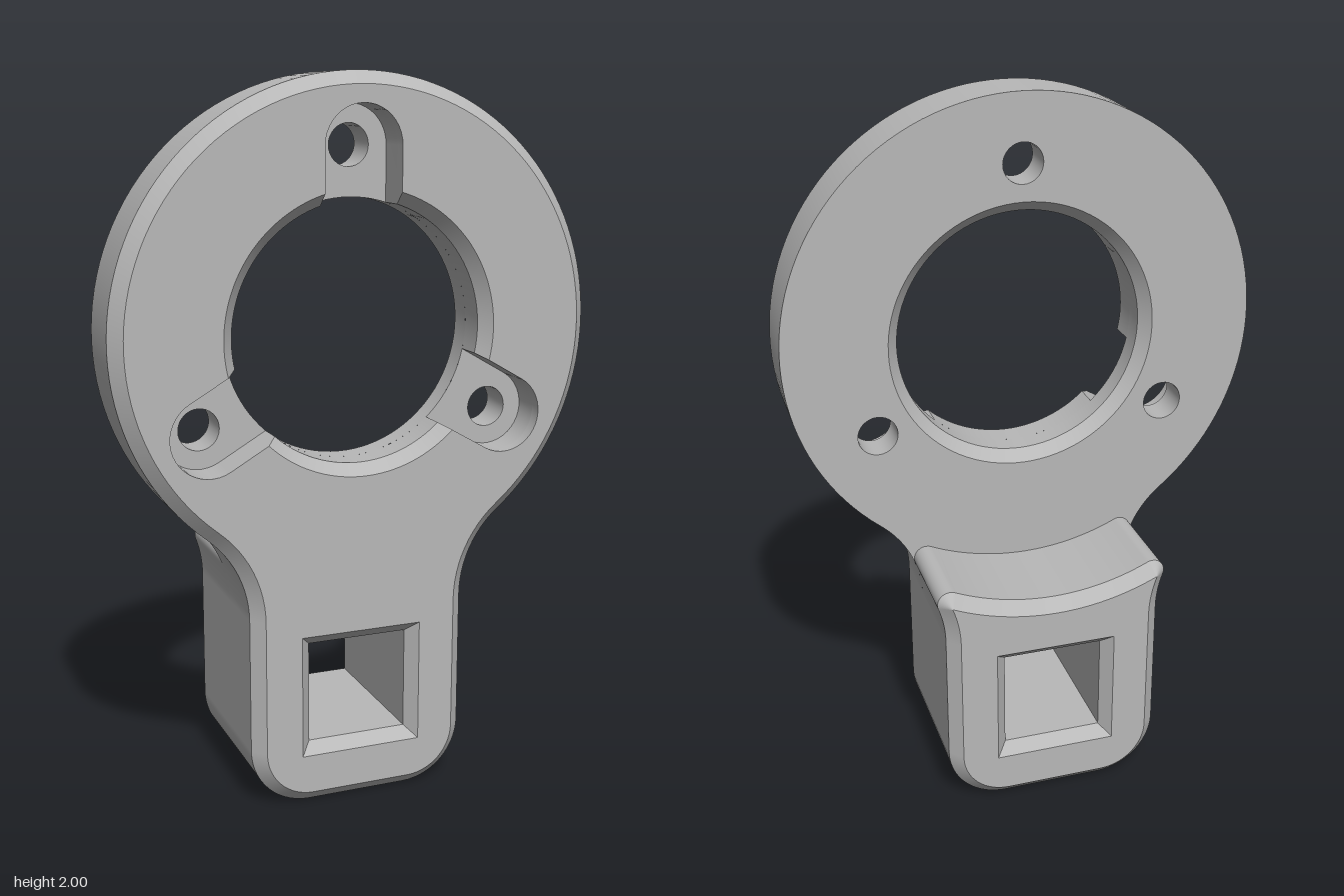
import * as THREE from 'three';

const { PI, sin, cos, asin, atan2, sqrt } = Math;
const V = (x, y) => new THREE.Vector2(x, y);

// Main dimensions
const RING = V(0, 1.32), R = 0.68, BORE = 0.354, BEVEL = 0.035, BORE_OUT = 0.385;
const HALF_W = 0.314, CORNER = 0.17, NECK = 0.313, NECK_C = V(HALF_W + NECK, 0.55);
const BACK = -0.26, PLATE = 0.05, FLOOR = 0.15, FRONT = 0.26;
const SLOT_HALF = 0.108, SLOT_DIST = 0.49, SCREW = 0.057;
const SLOTS = [PI / 2, PI * 7 / 6, PI * 11 / 6];

// Points along an arc, both ends included
function arc(c, r, a0, a1, n) {
  return Array.from({ length: n + 1 }, (_, i) => {
    const a = a0 + (a1 - a0) * i / n;
    return V(c.x + r * cos(a), c.y + r * sin(a));
  });
}
const circle = (c, r, n) => arc(c, r, 0, 2 * PI, n).slice(0, -1);
const angleTo = (a, b) => atan2(b.y - a.y, b.x - a.x);
const reversed = (pts) => pts.slice().reverse();

// Completes a right half (bottom to top) with its mirror image
function mirrored(half) {
  const left = reversed(half).filter((p) => p.x > 1e-6).map((p) => V(-p.x, p.y));
  return half.concat(left);
}

// Rounded upper corner of the boss, touching the neck fillet and the ring circle
const TIP = 0.036;
const TIP_C = (() => {
  const D = NECK_C.distanceTo(RING), r0 = R + TIP, r1 = NECK + TIP;
  const a = (D * D + r0 * r0 - r1 * r1) / (2 * D), h = sqrt(r0 * r0 - a * a);
  const u = NECK_C.clone().sub(RING).divideScalar(D);
  return V(RING.x + u.x * a + u.y * h, RING.y + u.y * a - u.x * h);
})();
const TIP_A0 = angleTo(TIP_C, NECK_C), TIP_A1 = angleTo(TIP_C, RING);
const NECK_TIP = angleTo(NECK_C, TIP_C), NECK_RING = angleTo(NECK_C, RING);
const RING_TIP = angleTo(RING, TIP_C), RING_NECK = angleTo(RING, NECK_C);

// Outlines inset by d
const foot = (d) => arc(V(HALF_W - CORNER, CORNER), CORNER - d, -PI / 2, 0, 14);
const plateOutline = (d) => mirrored([
  ...foot(d),
  ...arc(NECK_C, NECK + d, PI, NECK_RING, 12),
  ...arc(RING, R - d, RING_NECK, PI / 2, 48).slice(1),
]);
const bossOutline = (d) => mirrored([
  ...foot(d),
  ...arc(NECK_C, NECK + d, PI, NECK_TIP, 8),
  ...arc(TIP_C, TIP - d, TIP_A0, TIP_A1, 14).slice(1),
  ...arc(RING, R + d, RING_TIP, -PI / 2, 14).slice(1),
]);
const plateBackOutline = () => mirrored([
  ...arc(RING, R, -PI / 2, RING_TIP, 14),
  ...arc(TIP_C, TIP, TIP_A1, TIP_A0, 14).slice(1),
  ...arc(NECK_C, NECK, NECK_TIP, NECK_RING, 8).slice(1),
  ...arc(RING, R, RING_NECK, PI / 2, 48).slice(1),
]);
const square = (h) => [V(-h, 0.32 - h), V(h, 0.32 - h), V(h, 0.32 + h), V(-h, 0.32 + h)];

// Slot outline, open towards a bore of radius r
function slot(angle, r) {
  const s = sqrt(r * r - SLOT_HALF * SLOT_HALF);
  return [V(s, -SLOT_HALF), ...arc(V(SLOT_DIST, 0), SLOT_HALF, -PI / 2, PI / 2, 20), V(s, SLOT_HALF)]
    .map((p) => p.rotateAround(V(0, 0), angle).add(RING));
}
// Bore wall between one slot and the next
function boreArc(angle, r) {
  const w = asin(SLOT_HALF / r);
  return arc(RING, r, angle + w, angle + 2 * PI / 3 - w, 32);
}
const screwCentre = (a) => V(RING.x + SLOT_DIST * cos(a), RING.y + SLOT_DIST * sin(a));

export function createModel() {
  const model = new THREE.Group();
  const grey = new THREE.MeshStandardMaterial({ color: 0xb8b8b8 });
  grey.name = 'light grey';

  const add = (geometry, name) => {
    const mesh = new THREE.Mesh(geometry, grey);
    mesh.name = name;
    model.add(mesh);
  };

  // Wall strips through [z, contour] levels, creased at each level
  function wall(name, levels, { closed = true, inward = false, flat = false } = {}) {
    for (let k = 0; k + 1 < levels.length; k++) {
      const [lo, hi] = [levels[k], levels[k + 1]].map(([z, pts]) =>
        (inward ? reversed(pts) : pts).map((p) => [p.x, p.y, z]));
      const n = lo.length, index = [];
      for (let i = 0; i < (closed ? n : n - 1); i++) {
        const j = (i + 1) % n;
        index.push(i, j, n + j, i, n + j, n + i);
      }
      let g = new THREE.BufferGeometry();
      g.setAttribute('position', new THREE.Float32BufferAttribute([...lo, ...hi].flat(), 3));
      g.setIndex(index);
      if (flat) g = g.toNonIndexed();
      g.computeVertexNormals();
      add(g, name);
    }
  }

  // Flat face with holes
  function face(name, z, outline, holes, facesBack = false) {
    const shape = new THREE.Shape(outline);
    shape.holes = holes.map((h) => new THREE.Path(h));
    const g = new THREE.ShapeGeometry(shape);
    if (facesBack) g.setIndex(Array.from(g.index.array).reverse());
    g.computeVertexNormals();
    add(g.translate(0, 0, z), name);
  }

  // Plate: rim, front face and back face
  wall('plateRim', [
    [PLATE, plateOutline(0)], [FRONT - BEVEL, plateOutline(0)], [FRONT, plateOutline(BEVEL)],
  ]);
  const frontBore = SLOTS.flatMap((a) => [...slot(a, BORE_OUT), ...boreArc(a, BORE_OUT).slice(1, -1)]);
  face('plateFront', FRONT, plateOutline(BEVEL), [frontBore, square(0.175)]);
  face('plateBack', PLATE, plateBackOutline(), [
    circle(RING, BORE_OUT, 96), ...SLOTS.map((a) => circle(screwCentre(a), SCREW, 32)),
  ], true);

  // Boss behind the handle
  wall('bossSides', [
    [BACK, bossOutline(BEVEL)], [BACK + BEVEL, bossOutline(0)], [PLATE, bossOutline(0)],
  ]);
  face('bossBack', BACK, bossOutline(BEVEL), [square(0.175)], true);

  // Square drive hole, bevelled at both ends
  wall('squareHole', [
    [BACK, square(0.175)], [BACK + BEVEL, square(0.144)],
    [FRONT - BEVEL, square(0.144)], [FRONT, square(0.175)],
  ], { inward: true, flat: true });

  // Round bore, full circle below the slot floors
  wall('boreBack', [
    [PLATE, circle(RING, BORE_OUT, 96)], [PLATE + BEVEL, circle(RING, BORE, 96)],
    [FLOOR, circle(RING, BORE, 96)],
  ], { inward: true });

  // Bore front section, slots and screw holes, three times round
  for (const a of SLOTS) {
    const open = { closed: false, inward: true };
    wall('boreFront', [
      [FLOOR, boreArc(a, BORE)], [FRONT - BEVEL, boreArc(a, BORE)], [FRONT, boreArc(a, BORE_OUT)],
    ], open);
    wall('slotWall', [
      [FLOOR, slot(a, BORE)], [FRONT - BEVEL, slot(a, BORE)], [FRONT, slot(a, BORE_OUT)],
    ], open);
    const w = asin(SLOT_HALF / BORE), hole = circle(screwCentre(a), SCREW, 32);
    face('slotFloor', FLOOR, [...slot(a, BORE), ...arc(RING, BORE, a + w, a - w, 10).slice(1, -1)], [hole]);
    wall('screwHole', [[PLATE, hole], [FLOOR, hole]], { inward: true });
  }
  return model;
}
